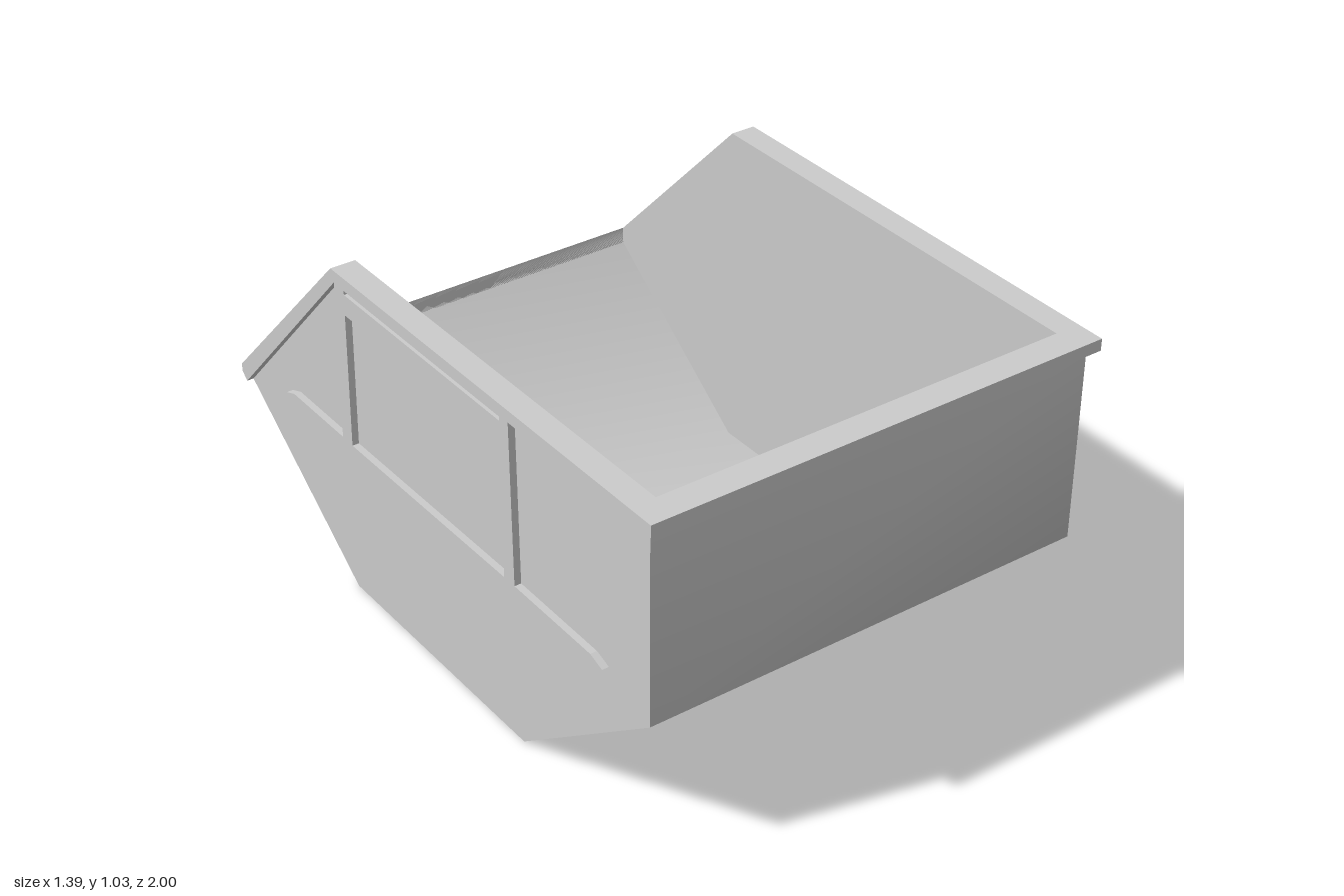
import * as THREE from 'three';

const WALL = 0.675, INNER = 0.62, RIM = 0.695;
// profiles are lists of [z, y]
const OUTER = [[0.97, 1.0], [0.97, 0.42], [0.41, 0], [-0.43, 0], [-0.975, 0.41]];
const CAVITY = [[0.915, 1.035], [0.915, 0.405], [0.41, 0.025], [-0.42, 0.025], [-0.97, 0.435], [-0.97, 0.486]];

const grey = new THREE.MeshStandardMaterial({ color: 0xcccccc });
const greySheet = new THREE.MeshStandardMaterial({ color: 0xcccccc, side: THREE.DoubleSide });

function toShape(points) {
  return new THREE.Shape(points.map(([z, y]) => new THREE.Vector2(z, y)));
}

// solid with a [z, y] section, running from x0 to x1
function solid(shape, x0, x1) {
  const g = new THREE.ExtrudeGeometry(shape, { depth: x1 - x0, bevelEnabled: false });
  return g.rotateY(-Math.PI / 2).translate(x1, 0, 0);
}

// smooth sheet following a [z, y] profile across the width
function sheet(profile, half, flip) {
  const pos = [], index = [];
  profile.forEach(([z, y], i) => {
    pos.push(-half, y, z, half, y, z);
    if (i === profile.length - 1) return;
    const a = i * 2, b = a + 1, c = a + 2, d = a + 3;
    index.push(...(flip ? [a, b, c, b, d, c] : [a, c, b, b, c, d]));
  });
  const g = new THREE.BufferGeometry();
  g.setAttribute('position', new THREE.Float32BufferAttribute(pos, 3));
  g.setIndex(index);
  g.computeVertexNormals();
  return g;
}

export function createModel() {
  const model = new THREE.Group();
  const add = (name, geometry, material = grey) => {
    const mesh = new THREE.Mesh(geometry, material);
    mesh.name = name;
    model.add(mesh);
  };

  // curved-shaded outer and inner skins
  add('outerSkin', sheet(OUTER, WALL, false));
  add('innerSkin', sheet(CAVITY, INNER, true));

  // side wall, cavity and rim sections
  const wallShape = toShape([...OUTER, [-0.415, 1.0]]);
  const cavityShape = toShape([...CAVITY, [-0.43, 1.035]]);
  const rimShape = toShape([[1, 1.0], [1, 1.035], [-0.43, 1.035], [-1, 0.455],
    [-1, 0.43], [-0.975, 0.41], [-0.415, 1.0]]);

  // raised frame: two posts, a top bar and a long tapered ledge
  const frameShape = toShape([[0.8, 0.495], [0.75, 0.512], [0.418, 0.516], [0.41, 1.0],
    [-0.415, 1.0], [-0.425, 0.512], [-0.69, 0.512], [-0.735, 0.495]]);
  frameShape.holes.push(
    toShape([[0.37, 0.516], [0.375, 0.922], [-0.368, 0.922], [-0.375, 0.51]]),
    toShape([[0.372, 0.985], [0.372, 0.997], [-0.366, 0.997], [-0.366, 0.985]]));

  for (const [side, s] of [['left', 1], ['right', -1]]) {
    const span = (a, b) => (s > 0 ? [a, b] : [-b, -a]);
    const flat = (shape, x, outward) => {
      const g = new THREE.ShapeGeometry(shape);
      return g.rotateY(outward * s > 0 ? -Math.PI / 2 : -Math.PI / 2).translate(s * x, 0, 0);
    };
    add(side + 'OuterWall', flat(wallShape, WALL, 1), greySheet);
    add(side + 'InnerWall', flat(cavityShape, INNER, -1), greySheet);
    add(side + 'Rim', solid(rimShape, ...span(INNER, RIM)));
    add(side + 'Frame', solid(frameShape, ...span(WALL, RIM)));
  }

  // end rims between the side rims
  add('frontRim', solid(toShape([[0.915, 1.0], [1, 1.0], [1, 1.035], [0.915, 1.035]]), -INNER, INNER));
  add('backRim', solid(toShape([[-0.97, 0.486], [-1, 0.455], [-1, 0.43], [-0.975, 0.41], [-0.97, 0.41]]), -INNER, INNER));

  return model;
}
